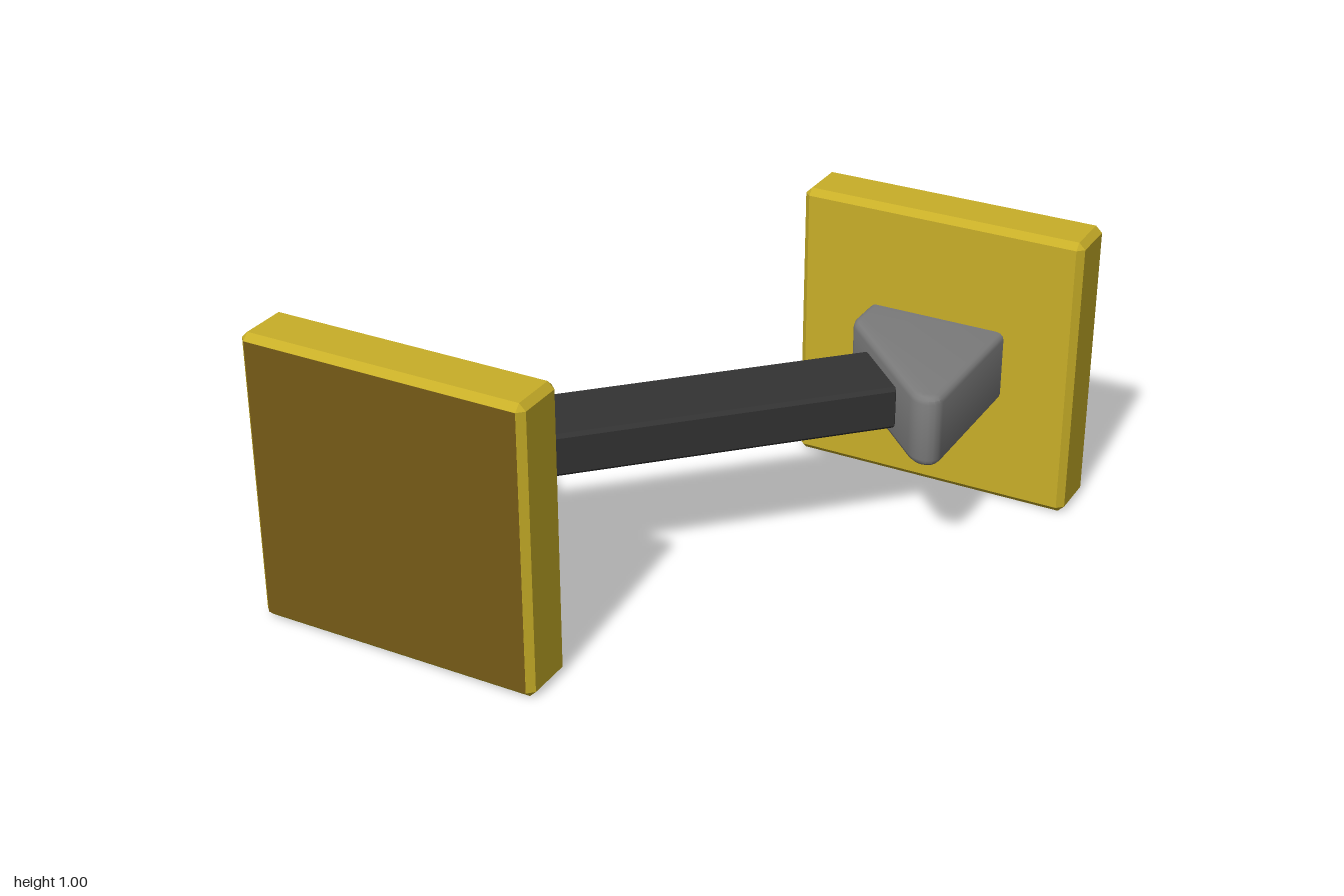
import * as THREE from 'three';
import { ConvexGeometry } from 'three/addons/geometries/ConvexGeometry.js';
import { toCreasedNormals } from 'three/addons/utils/BufferGeometryUtils.js';

const paint = (color) => new THREE.MeshStandardMaterial({ color });
const gold = paint(0xc8ae28);
const darkGold = paint(0x755a16);
const grey = paint(0x7c7c7c);
const black = paint(0x333333);

function addMesh(parent, name, geometry, material, x = 0, y = 0, z = 0) {
  const mesh = new THREE.Mesh(geometry, material);
  mesh.name = name;
  mesh.position.set(x, y, z);
  parent.add(mesh);
  return mesh;
}

// Box with every edge cut at 45 degrees by c
function chamferBox(w, h, d, c) {
  const points = [];
  const [x, y, z] = [w / 2, h / 2, d / 2];
  for (const sx of [-1, 1]) for (const sy of [-1, 1]) for (const sz of [-1, 1]) {
    points.push(
      new THREE.Vector3(sx * x, sy * (y - c), sz * (z - c)),
      new THREE.Vector3(sx * (x - c), sy * y, sz * (z - c)),
      new THREE.Vector3(sx * (x - c), sy * (y - c), sz * z));
  }
  return new ConvexGeometry(points);
}

// Wedge with a slanted face, drawn in plan (x, -z) and extruded upwards
function wedgeGeometry() {
  const bevel = 0.025;
  const s = new THREE.Shape();
  s.moveTo(-0.725, -0.82);
  s.lineTo(-0.285, -0.82);
  s.lineTo(-0.285, -0.69);
  s.quadraticCurveTo(-0.285, -0.67, -0.3, -0.655);
  s.lineTo(-0.66, -0.295);
  s.quadraticCurveTo(-0.68, -0.275, -0.7, -0.275);
  s.quadraticCurveTo(-0.725, -0.275, -0.725, -0.3);
  s.closePath();
  const geometry = new THREE.ExtrudeGeometry(s, {
    depth: 0.25 - 2 * bevel, bevelThickness: bevel, bevelSize: bevel, bevelSegments: 3, curveSegments: 4,
  });
  geometry.rotateX(-Math.PI / 2);
  geometry.translate(0, 0.38 + bevel, 0);
  return toCreasedNormals(geometry, 0.6);
}

export function createModel() {
  const model = new THREE.Group();
  model.name = 'bracedPlates';

  const plate = chamferBox(1, 1, 0.199, 0.022);
  const face = new THREE.PlaneGeometry(0.956, 0.956);
  const wedge = wedgeGeometry();

  // Two identical ends, half a turn apart
  for (const [name, angle] of [['frontEnd', 0], ['backEnd', Math.PI]]) {
    const end = new THREE.Group();
    end.name = name;
    end.rotation.y = angle;
    addMesh(end, 'plate', plate, gold, -0.5, 0.5, 0.8995);
    addMesh(end, 'outerFace', face, darkGold, -0.5, 0.5, 1);
    addMesh(end, 'wedge', wedge, grey);
    model.add(end);
  }

  // Diagonal bar joining the slanted faces
  const bar = addMesh(model, 'bar', chamferBox(1.32, 0.15, 0.286, 0.012), black, 0, 0.505, 0);
  bar.rotation.y = Math.PI / 4;

  return model;
}
